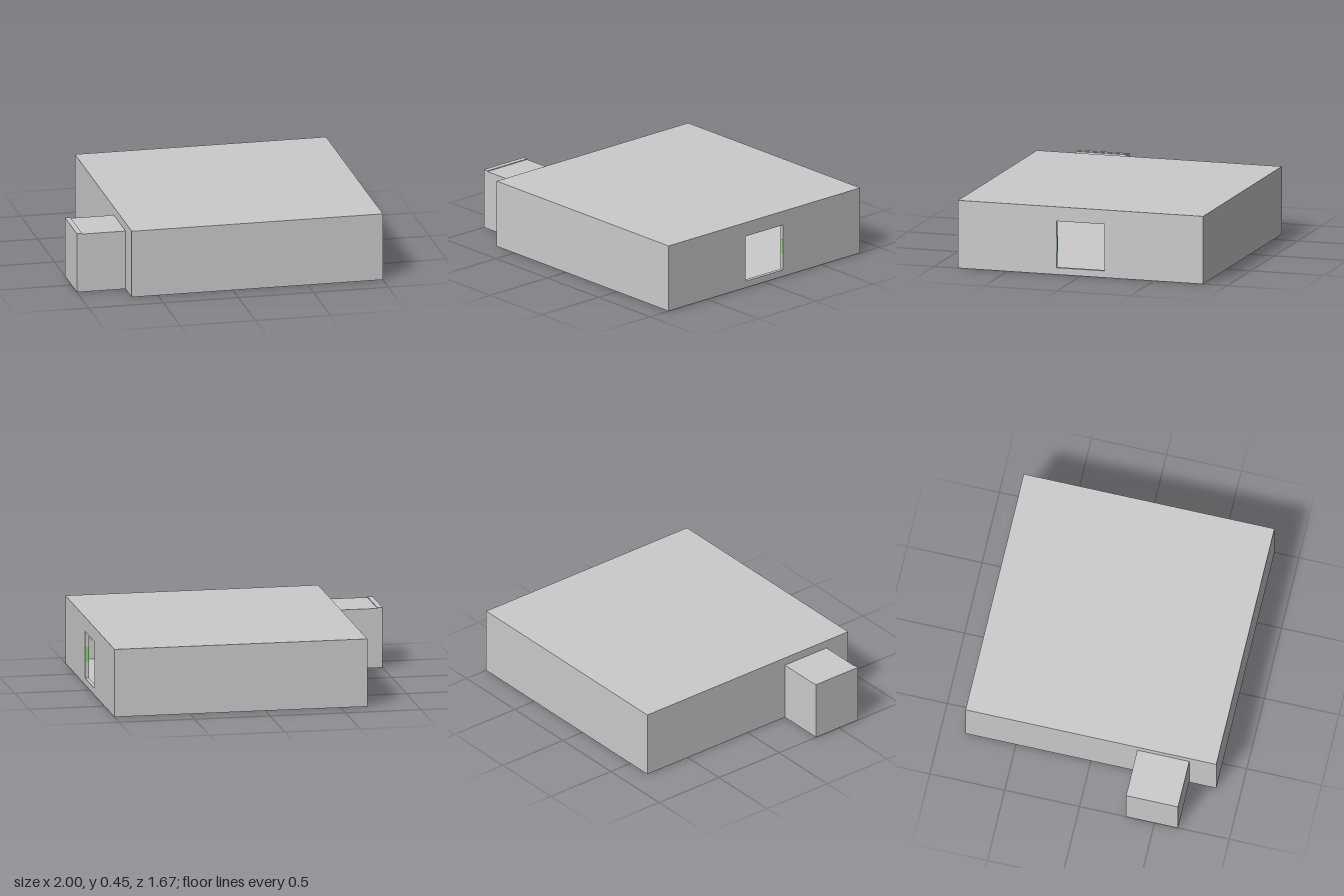
import * as THREE from 'three';

const grey = new THREE.MeshStandardMaterial({ color: 0xcccccc });
const greyInside = new THREE.MeshStandardMaterial({ color: 0xcccccc, side: THREE.BackSide });
const green = new THREE.MeshStandardMaterial({ color: 0x88dd66 });

const X0 = -0.675, X1 = 1, Z = 0.837, H = 0.45, T = 0.025; // building extents and wall thickness
const DOOR = { z: 0.165, y0: 0.045, y1: 0.355 };

// Box given by its minimum and maximum corners
function boxGeometry(a, b) {
  const g = new THREE.BoxGeometry(b[0] - a[0], b[1] - a[1], b[2] - a[2]);
  return g.translate((a[0] + b[0]) / 2, (a[1] + b[1]) / 2, (a[2] + b[2]) / 2);
}

// The same box without its +x face
function openBox(a, b) {
  const g = boxGeometry(a, b);
  g.setIndex(Array.from(g.index.array).slice(6));
  g.clearGroups();
  return g;
}

export function createModel() {
  const model = new THREE.Group();
  const add = (name, geometry, material = grey, parent = model) => {
    const mesh = new THREE.Mesh(geometry, material);
    mesh.name = name;
    parent.add(mesh);
    return mesh;
  };

  // Hollow building: outer shell and room lining, both closed by the entrance wall
  add('outerShell', openBox([X0, 0, -Z], [X1, H, Z]));
  add('roomLining', openBox([X0 + T, T, -Z + T], [X1 - T, H - T, Z - T]), greyInside);

  // Entrance wall with a square opening
  const wall = new THREE.Shape();
  wall.moveTo(-Z, 0).lineTo(Z, 0).lineTo(Z, H).lineTo(-Z, H).closePath();
  const hole = new THREE.Path();
  hole.moveTo(-DOOR.z, DOOR.y0).lineTo(-DOOR.z, DOOR.y1).lineTo(DOOR.z, DOOR.y1).lineTo(DOOR.z, DOOR.y0).closePath();
  wall.holes.push(hole);
  const wallGeometry = new THREE.ExtrudeGeometry(wall, { depth: T, bevelEnabled: false });
  wallGeometry.rotateY(Math.PI / 2).translate(X1 - T, 0, 0);
  add('entranceWall', wallGeometry);

  // Green stripe around the room and on the jambs of the opening
  const stripes = new THREE.Group();
  stripes.name = 'greenStripes';
  model.add(stripes);
  const D = 0.002, xa = X0 + T, xb = X1 - T, zi = Z - T;
  const stripe = (name, x0, x1, z0, z1) =>
    add(name, boxGeometry([x0, 0.15, Math.min(z0, z1)], [x1, 0.25, Math.max(z0, z1)]), green, stripes);
  stripe('farWallStripe', xa, xa + D, -zi, zi);
  for (const s of [-1, 1]) {
    stripe('sideWallStripe', xa, xb, s * zi, s * (zi - D));
    stripe('entranceWallStripe', xb - D, xb, s * DOOR.z, s * zi);
    stripe('jambStripe', xb, X1 - D, s * DOOR.z, s * (DOOR.z - D));
  }

  // Small side annex with a slightly taller end panel
  add('annex', boxGeometry([-0.965, 0, 0.31], [X0, 0.395, 0.657]));
  add('annexEndPanel', boxGeometry([-1, 0, 0.31], [-0.965, 0.4, 0.657]));

  return model;
}
